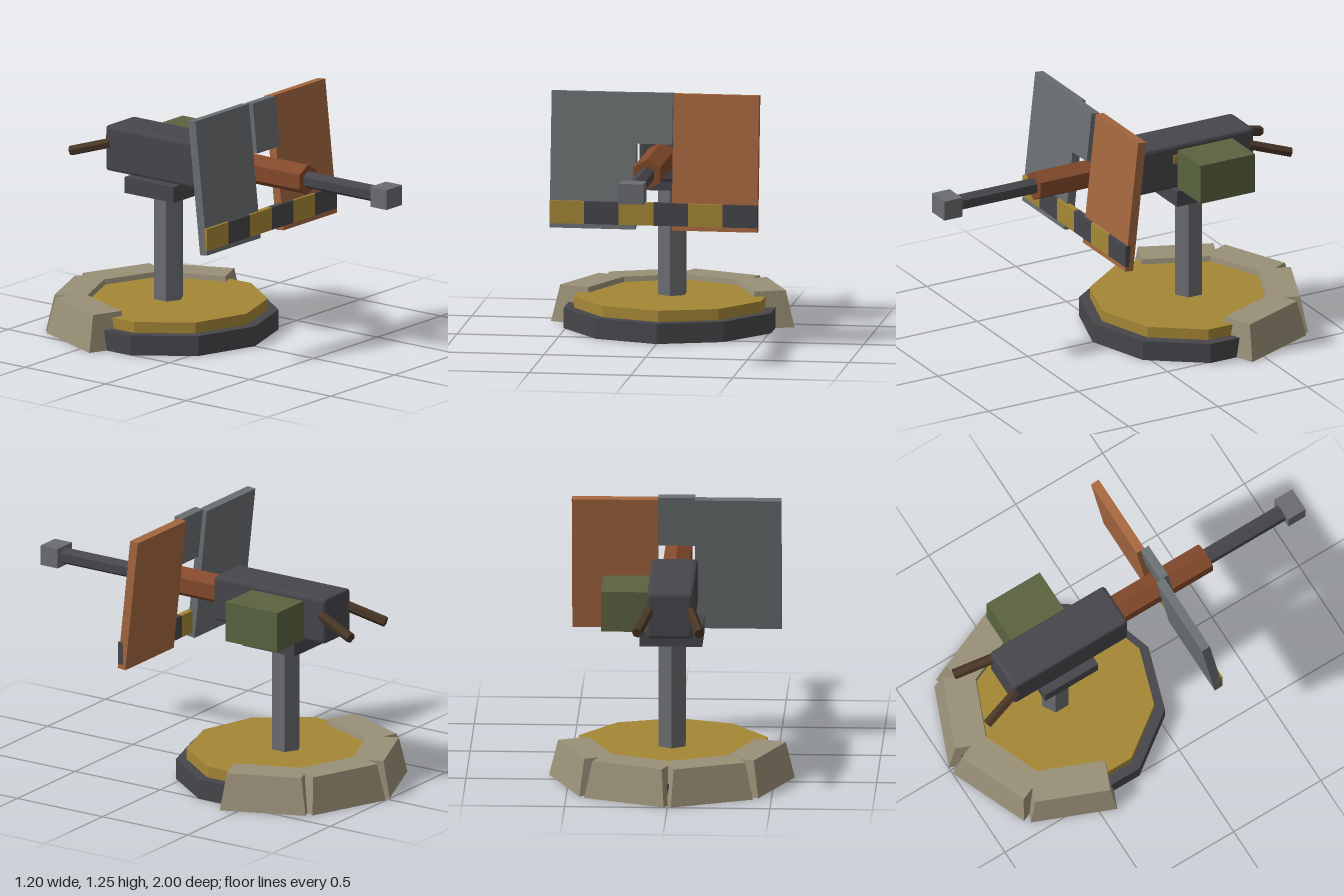
import * as THREE from 'three';
import { RoundedBoxGeometry } from 'three/addons/geometries/RoundedBoxGeometry.js';

const mat = (name, color) => {
  const m = new THREE.MeshStandardMaterial({ color, flatShading: true });
  m.name = name;
  return m;
};

export function createModel() {
  const model = new THREE.Group();
  model.name = 'mountedGun';

  const dark = mat('darkMetal', 0x47464b);
  const steel = mat('steel', 0x6b6d71);
  const plate = mat('plateGrey', 0x6a6f71);
  const gold = mat('yellowPaint', 0xa58836);
  const rust = mat('rust', 0x84492b);
  const orange = mat('orangePaint', 0xa5673f);
  const sand = mat('sandbagTan', 0x9a9078);
  const green = mat('oliveGreen', 0x5a6340);
  const brown = mat('gripBrown', 0x483626);

  const add = (name, geometry, material, x, y, z, parent = model) => {
    const mesh = new THREE.Mesh(geometry, material);
    mesh.name = name;
    mesh.position.set(x, y, z);
    parent.add(mesh);
    return mesh;
  };
  const box = (w, h, d) => new THREE.BoxGeometry(w, h, d);
  const prism = (r, h, sides) => new THREE.CylinderGeometry(r, r, h, sides);

  // Round platform and post
  const baseZ = -0.4;
  add('basePlate', prism(0.536, 0.1, 10), dark, 0, 0.05, baseZ);
  add('platform', prism(0.484, 0.055, 10), gold, 0, 0.1275, baseZ);
  add('post', prism(0.075, 0.56, 6), steel, 0, 0.42, baseZ);

  // Four tapered sandbags around the back
  const bag = box(0.426, 0.18, 0.23);
  const p = bag.attributes.position;
  for (let i = 0; i < p.count; i++) {
    if (p.getY(i) > 0) {
      p.setX(i, p.getX(i) * 0.87);
      p.setZ(i, p.getZ(i) * 0.683);
    }
  }
  bag.computeVertexNormals();
  for (const deg of [-67.5, -22.5, 22.5, 67.5]) {
    const a = THREE.MathUtils.degToRad(deg);
    const m = add('sandbag', bag, sand, -Math.sin(a) * 0.445, 0.09, baseZ - Math.cos(a) * 0.445);
    m.rotation.y = a;
  }

  // Cradle, receiver and ammunition box
  add('cradle', box(0.305, 0.08, 0.305), dark, 0, 0.73, baseZ);
  add('receiver', new RoundedBoxGeometry(0.224, 0.23, 0.655, 1, 0.016), dark, 0, 0.883, -0.3775);
  add('ammoBox', box(0.23, 0.2, 0.305), green, 0.225, 0.87, -0.4275);
  add('ammoFeed', box(0.02, 0.045, 0.15), gold, 0.107, 0.925, -0.325);

  // Barrel along z
  const gunY = 0.895;
  add('barrelSleeve', prism(0.075, 0.53, 6), rust, 0, gunY, 0.2).rotation.x = Math.PI / 2;
  add('barrel', prism(0.042, 0.46, 6), dark, 0, gunY, 0.68).rotation.x = Math.PI / 2;
  add('muzzle', box(0.124, 0.1, 0.1), steel, 0, gunY, 0.95);

  // Rear grips, splayed outwards and down
  for (const s of [-1, 1]) {
    const from = new THREE.Vector3(s * 0.1, 0.91, -0.68);
    const to = new THREE.Vector3(s * 0.152, 0.847, -0.885);
    const dir = to.clone().sub(from);
    const mid = from.clone().add(to).multiplyScalar(0.5);
    const grip = add('grip', prism(0.026, dir.length(), 6), brown, mid.x, mid.y, mid.z);
    grip.quaternion.setFromUnitVectors(new THREE.Vector3(0, 1, 0), dir.normalize());
  }

  // Shield leaning back, with a gap for the barrel
  const shield = new THREE.Group();
  shield.name = 'shield';
  shield.position.set(0, 0.9125, 0.184);
  shield.rotation.x = -0.11;
  model.add(shield);
  const panel = box(0.42, 0.668, 0.045);
  add('leftShieldPanel', panel, orange, 0.3, 0, 0, shield);
  add('rightShieldPanel', panel, plate, -0.3, 0, 0, shield);
  add('centreShieldPlate', box(0.18, 0.25, 0.045), plate, 0, 0.212, 0.024, shield);

  // Upright hazard bar across the shield
  for (let i = 0; i < 6; i++) {
    add('hazardBlock', box(0.17, 0.112, 0.03), i % 2 ? dark : gold, -0.425 + i * 0.17, 0.66, 0.226);
  }

  return model;
}
